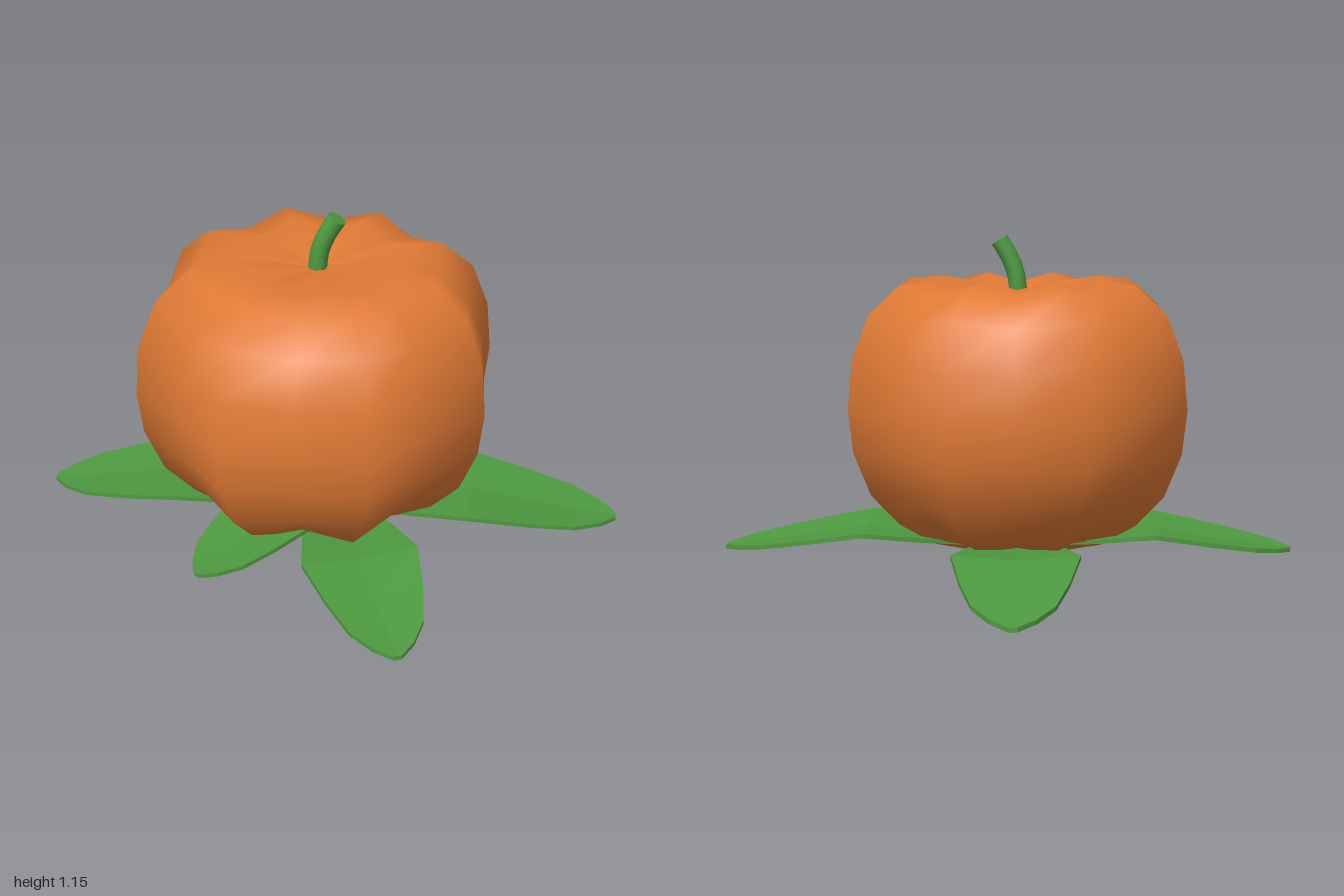
import * as THREE from 'three';

const orange = new THREE.MeshStandardMaterial({ color: 0xe07a35 });
const green = new THREE.MeshStandardMaterial({ color: 0x4e9a40 });

function geometryFrom(positions, index) {
  const g = new THREE.BufferGeometry();
  g.setAttribute('position', new THREE.Float32BufferAttribute(positions, 3));
  g.setIndex(index);
  return g;
}

// Ribbed body: rings of alternating ridges and valleys between two poles
function pumpkinGeometry() {
  const midY = 0.57, sides = 16;
  const profile = [ // ridge radius, height; bottom to top
    [0.07, 0.058], [0.17, 0.045], [0.31, 0.08], [0.44, 0.16], [0.54, 0.27], [0.6, 0.42], [0.617, 0.57],
    [0.6, 0.74], [0.54, 0.89], [0.43, 0.985], [0.3, 1.0], [0.17, 0.985], [0.06, 0.962],
  ];
  const pos = [0, 0.065, 0], idx = [];
  for (const [r, y] of profile) {
    const squash = 1 - 0.075 * Math.min(1, r / 0.3);
    for (let i = 0; i < sides; i++) {
      const valley = i % 2 === 0;
      const a = (i / sides) * Math.PI * 2;
      const rr = valley ? r * 0.905 : r;
      pos.push(rr * Math.cos(a), valley ? midY + (y - midY) * squash : y, rr * Math.sin(a));
    }
  }
  const top = pos.length / 3, last = top - sides;
  pos.push(0, 0.952, 0);
  for (let i = 0; i < sides; i++) {
    const j = (i + 1) % sides;
    idx.push(0, 1 + i, 1 + j, top, last + j, last + i);
    for (let k = 0; k < profile.length - 1; k++) {
      const a = 1 + k * sides + i, b = 1 + k * sides + j;
      idx.push(a, a + sides, b, b, a + sides, b + sides);
    }
  }
  const g = geometryFrom(pos, idx);
  g.computeVertexNormals();
  return g;
}

// Thin leaf along +z, bent across the middle and slightly hollow along its spine
function leafGeometry(length, width, startY, bendY, tipY) {
  const outline = [ // fraction of length, half width
    [0, 0.04], [0.1, 0.09], [0.3, 0.165], [0.5, 0.21], [0.7, 0.172], [0.86, 0.128], [0.95, 0.07], [1, 0.015],
  ];
  const thick = 0.015, pos = [], idx = [];
  for (const [t, w] of outline) {
    const y = t < 0.5
      ? THREE.MathUtils.lerp(startY, bendY, t * 2)
      : THREE.MathUtils.lerp(bendY, tipY, t * 2 - 1);
    const hollow = 0.08 * w;
    // loop of six: upper left, spine, right, then lower right, spine, left
    for (const [s, drop] of [[-1, 0], [0, 0], [1, 0], [1, thick], [0, thick], [-1, thick]]) {
      pos.push(s * w * width, y - drop - (s === 0 ? hollow : 0), t * length);
    }
  }
  const n = outline.length;
  for (let k = 0; k < n - 1; k++) {
    for (let i = 0; i < 6; i++) {
      const a = k * 6 + i, b = k * 6 + (i + 1) % 6;
      idx.push(a, a + 6, b, b, a + 6, b + 6);
    }
  }
  const e = (n - 1) * 6;
  idx.push(0, 1, 4, 0, 4, 5, 1, 2, 3, 1, 3, 4);
  idx.push(e, e + 4, e + 1, e, e + 5, e + 4, e + 1, e + 3, e + 2, e + 1, e + 4, e + 3);
  const g = geometryFrom(pos, idx).toNonIndexed();
  g.computeVertexNormals();
  return g;
}

export function createModel() {
  const model = new THREE.Group();
  const add = (name, geometry, material, x = 0, y = 0, z = 0) => {
    const mesh = new THREE.Mesh(geometry, material);
    mesh.name = name;
    mesh.position.set(x, y, z);
    model.add(mesh);
    return mesh;
  };

  add('pumpkinBody', pumpkinGeometry(), orange, -0.04, 0, 0.11);

  // Crooked stem with a capped end
  const stemPath = new THREE.CatmullRomCurve3([
    [-0.04, 0.94], [-0.032, 1.01], [-0.01, 1.07], [0.026, 1.13],
  ].map(([x, y]) => new THREE.Vector3(x, y, 0.115)));
  add('stem', new THREE.TubeGeometry(stemPath, 6, 0.031, 12), green);
  const cap = add('stemEnd', new THREE.CircleGeometry(0.031, 12), green, 0.026, 1.13, 0.115);
  cap.quaternion.setFromUnitVectors(new THREE.Vector3(0, 0, 1), stemPath.getTangent(1));

  // Five leaves lying under the body
  const leaves = [ // name, x, z, heading, length, width, start, bend and tip heights
    ['leftLeaf', -0.02, 0.09, Math.PI / 2, 1.02, 1, 0.075, 0.14, 0.053],
    ['rightLeaf', -0.02, 0.09, -Math.PI / 2, 0.98, 1, 0.075, 0.14, 0.053],
    ['backLeaf', -0.04, 0.11, Math.PI, 1.0, 1, 0.075, 0.138, 0.053],
    ['frontLeftLeaf', -0.015, 0.06, 0.375, 0.89, 0.95, 0.035, 0.08, 0.016],
    ['frontRightLeaf', 0.03, -0.05, -0.53, 0.79, 0.8, 0.07, 0.115, 0.075],
  ];
  for (const [name, x, z, heading, ...shape] of leaves) {
    add(name, leafGeometry(...shape), green, x, 0, z).rotation.y = heading;
  }
  return model;
}
